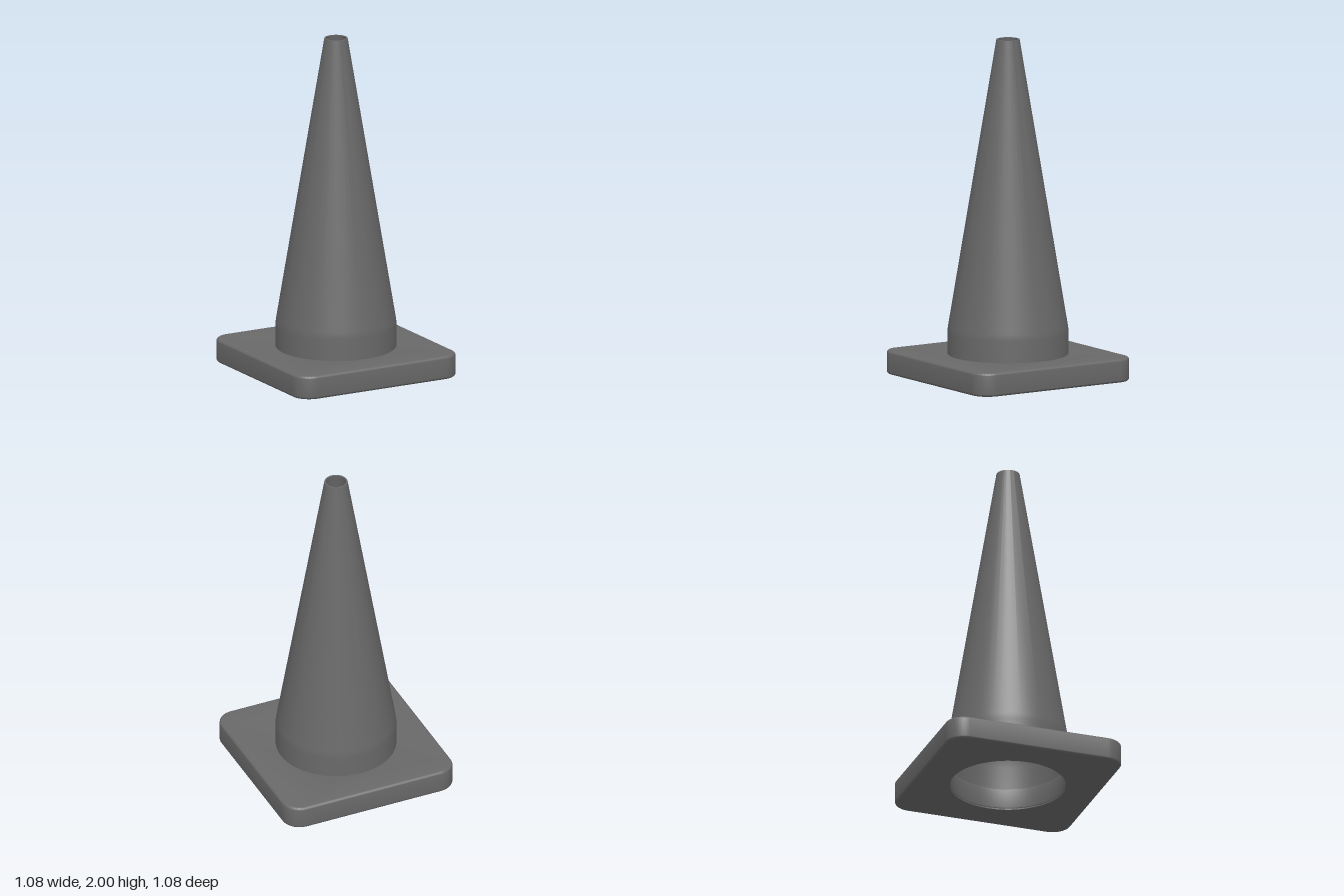
import * as THREE from 'three';
import { toCreasedNormals } from 'three/addons/utils/BufferGeometryUtils.js';

const HALF = 0.54, HEIGHT = 0.14, CORNER = 0.11, BEVEL = 0.015;

// Rounded square plate with a round hole under the cone
function baseGeometry() {
  const h = HALF - BEVEL, r = CORNER - BEVEL, k = h - r;
  const shape = new THREE.Shape();
  shape.absarc(k, k, r, 0, Math.PI / 2);
  shape.absarc(-k, k, r, Math.PI / 2, Math.PI);
  shape.absarc(-k, -k, r, Math.PI, Math.PI * 1.5);
  shape.absarc(k, -k, r, Math.PI * 1.5, Math.PI * 2);
  shape.closePath();
  const hole = new THREE.Path();
  hole.absarc(0, 0, 0.352, 0, Math.PI * 2, true);
  shape.holes.push(hole);
  const geo = new THREE.ExtrudeGeometry(shape, {
    depth: HEIGHT - 2 * BEVEL, bevelEnabled: true, bevelSize: BEVEL,
    bevelThickness: BEVEL, bevelSegments: 4, curveSegments: 32,
  });
  geo.rotateX(-Math.PI / 2).translate(0, BEVEL, 0);
  return toCreasedNormals(geo, 0.6);
}

// Hollow shell: up the outside, over the rim, down the inside, closed below
function coneGeometry() {
  const profile = [
    [0.353, 0], [0.353, 0.27], [0.352, 0.29], [0.349, 0.31], [0.068, 2],
    [0.058, 2], [0.335, 0.31], [0.339, 0.27], [0.339, 0], [0.353, 0],
  ].map(([x, y]) => new THREE.Vector2(x, y));
  return toCreasedNormals(new THREE.LatheGeometry(profile, 96), 0.6);
}

export function createModel() {
  const rubber = new THREE.MeshStandardMaterial({ color: 0x696969 });
  rubber.name = 'grey rubber';

  const group = new THREE.Group();
  group.name = 'trafficCone';
  for (const [name, geo] of [['base', baseGeometry()], ['cone', coneGeometry()]]) {
    const mesh = new THREE.Mesh(geo, rubber);
    mesh.name = name;
    group.add(mesh);
  }
  return group;
}
